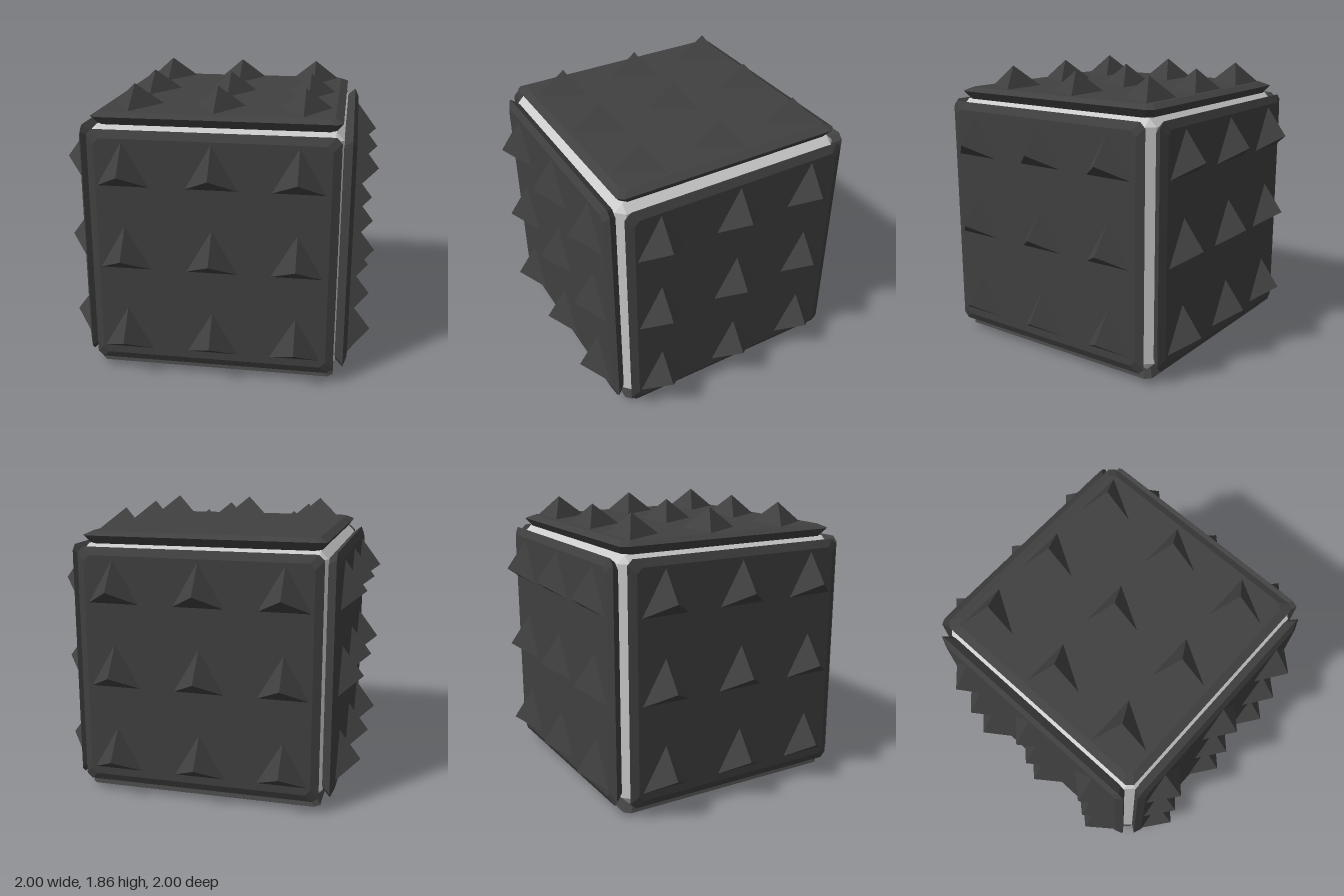
import * as THREE from 'three';
import { ConvexGeometry } from 'three/addons/geometries/ConvexGeometry.js';

const CENTER_Y = 0.86;
const OUTER = 0.86; // distance from centre to the outside of a plate
const SIGNS = [-1, 1];

const coreMaterial = new THREE.MeshStandardMaterial({ color: 0xcccccc, flatShading: true });
const darkMaterial = new THREE.MeshStandardMaterial({ color: 0x404040, flatShading: true });

// Cube with chamfered edges and corners
function chamferedCube(half, inner) {
  const points = [];
  for (const x of SIGNS) for (const y of SIGNS) for (const z of SIGNS) {
    points.push(
      new THREE.Vector3(x * half, y * inner, z * inner),
      new THREE.Vector3(x * inner, y * half, z * inner),
      new THREE.Vector3(x * inner, y * inner, z * half)
    );
  }
  return new ConvexGeometry(points);
}

// Square plate facing +z, with cut corners and a bevelled rim: [half width, z] per ring
function plateGeometry() {
  const cut = 0.035;
  const points = [];
  for (const [half, z] of [[0.735, 0.78], [0.775, 0.835], [0.725, OUTER]]) {
    for (const x of SIGNS) for (const y of SIGNS) {
      points.push(
        new THREE.Vector3(x * half, y * (half - cut), z),
        new THREE.Vector3(x * (half - cut), y * half, z)
      );
    }
  }
  return new ConvexGeometry(points);
}

// Three-sided spike pointing to +z, one base corner up
function spikeGeometry() {
  const height = 0.14;
  const geometry = new THREE.ConeGeometry(0.187, height, 3);
  geometry.rotateX(Math.PI / 2);
  geometry.rotateZ(Math.PI); // base corner from -y to +y
  geometry.translate(0, 0, height / 2);
  return geometry;
}

export function createModel() {
  const model = new THREE.Group();
  model.name = 'spikedCube';

  const body = new THREE.Group();
  body.name = 'body';
  body.position.y = CENTER_Y;
  model.add(body);

  const core = new THREE.Mesh(chamferedCube(0.785, 0.735), coreMaterial);
  core.name = 'core';
  body.add(core);

  const plate = plateGeometry();
  const spike = spikeGeometry();
  const q = Math.PI / 2;
  const rows = [0.52, -0.023, -0.582];
  const columns = [-0.55, 0, 0.53];
  const shifted = [-0.535, 0.013, 0.547];

  // Each side: name, rotation about x and y, spike columns and rows
  const sides = [
    ['front', 0, 0, columns, rows],
    ['left', 0, q, columns, rows],
    ['back', 0, 2 * q, shifted, rows],
    ['right', 0, -q, shifted, rows],
    ['top', -q, 2 * q, shifted, [0.508, -0.035, -0.594]],
    ['bottom', q, 0, [], []],
  ];

  for (const [name, rx, ry, us, vs] of sides) {
    const side = new THREE.Group();
    side.name = name + 'Side';
    side.rotation.set(rx, ry, 0, 'YXZ');
    body.add(side);

    const panel = new THREE.Mesh(plate, darkMaterial);
    panel.name = name + 'Plate';
    side.add(panel);

    for (const u of us) for (const v of vs) {
      const mesh = new THREE.Mesh(spike, darkMaterial);
      mesh.name = name + 'Spike';
      mesh.position.set(u, v, OUTER);
      side.add(mesh);
    }
  }
  return model;
}
